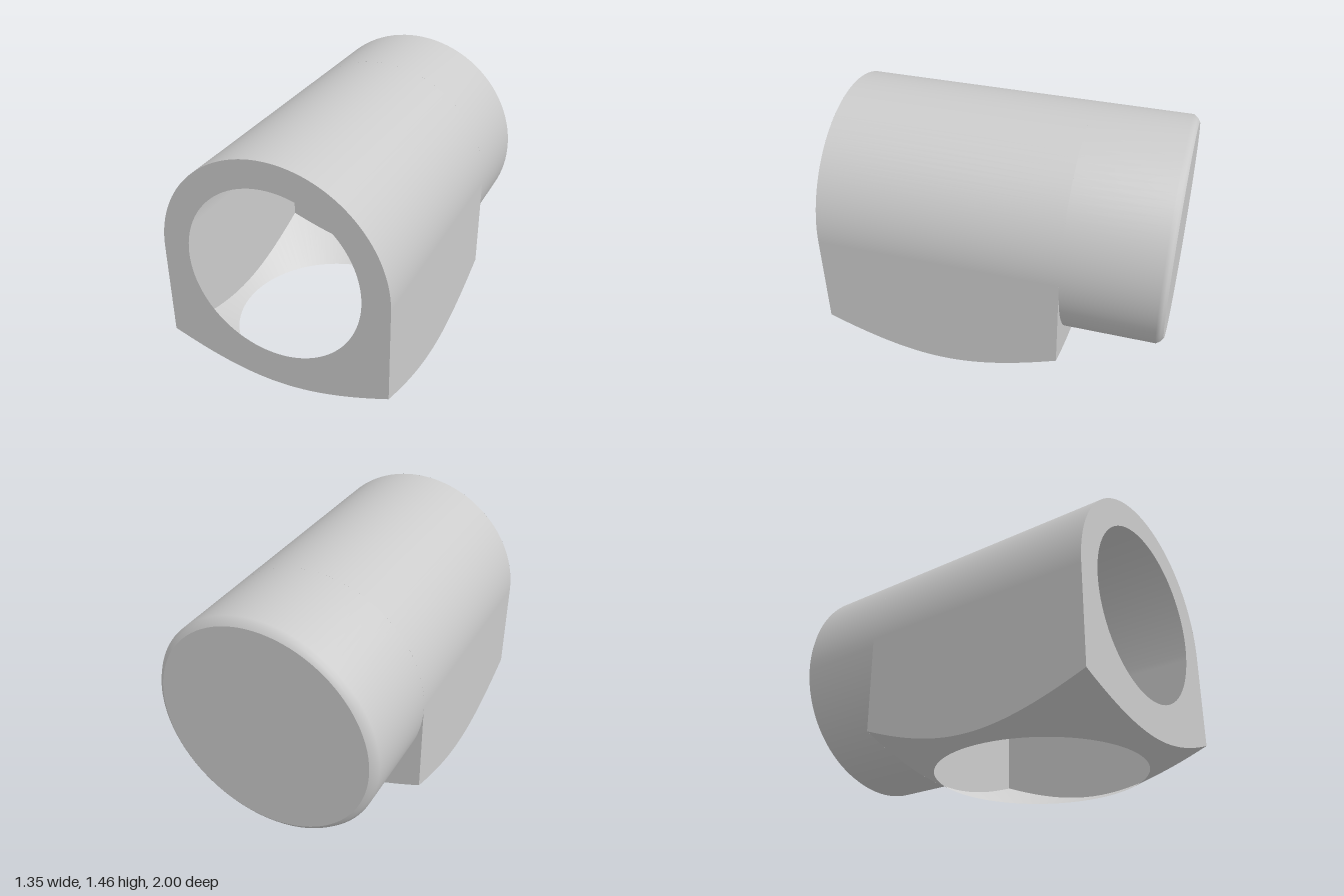
import * as THREE from 'three';

const R = 0.675;            // barrel radius and half width of the block
const AXIS = 0.785;         // height of the barrel axis
const FRONT = 1, STEP = -0.42, BACK = -1;
const MID = (FRONT + STEP) / 2, HALF = (FRONT - STEP) / 2;
const RING = 0.6;           // radius of the opening underneath
const coneY = (x, z) => (Math.hypot(x, z) - RING) * 0.555;

const material = new THREE.MeshStandardMaterial({ color: 0xcccccc, side: THREE.DoubleSide });

// Wall outline: lower edge follows the cone, top is straight or arched
function wallShape(half, dist, arched) {
  const shape = new THREE.Shape();
  const n = 32;
  for (let i = 0; i <= n; i++) {
    const u = -half + (2 * half * i) / n;
    if (i === 0) shape.moveTo(u, coneY(u, dist));
    else shape.lineTo(u, coneY(u, dist));
  }
  shape.lineTo(half, AXIS);
  if (arched) shape.absarc(0, AXIS, half, 0, Math.PI, false);
  else shape.lineTo(-half, AXIS);
  shape.closePath();
  return shape;
}

// Conical skirt from the round opening out to the rectangular block
function skirtGeometry() {
  const n = 24, pos = [], index = [];
  const corners = [[-R, HALF], [R, HALF], [R, -HALF], [-R, -HALF]];
  corners.forEach(([x0, z0], c) => {
    const [x1, z1] = corners[(c + 1) % 4];
    for (let i = 0; i < n; i++) {
      const x = x0 + ((x1 - x0) * i) / n, z = z0 + ((z1 - z0) * i) / n;
      const k = RING / Math.hypot(x, z);
      pos.push(x * k, 0, z * k, x, coneY(x, z), z);
    }
  });
  const total = 4 * n;
  for (let i = 0; i < total; i++) {
    const a = 2 * i, b = 2 * ((i + 1) % total);
    index.push(a, b, a + 1, b, b + 1, a + 1);
  }
  const g = new THREE.BufferGeometry();
  g.setAttribute('position', new THREE.Float32BufferAttribute(pos, 3));
  g.setIndex(index);
  g.computeVertexNormals();
  return g;
}

export function createModel() {
  const model = new THREE.Group();
  const add = (name, geometry, x = 0, y = 0, z = 0) => {
    const mesh = new THREE.Mesh(geometry, material);
    mesh.name = name;
    mesh.position.set(x, y, z);
    model.add(mesh);
  };

  // Front wall with the round port
  const front = wallShape(R, HALF, true);
  front.holes.push(new THREE.Path().absarc(0, AXIS, 0.515, 0, Math.PI * 2, true));
  add('frontWall', new THREE.ShapeGeometry(front, 48), 0, 0, FRONT);

  // Back wall of the block, behind which the barrel continues
  add('backWall', new THREE.ShapeGeometry(wallShape(R, HALF, true), 48).rotateY(Math.PI), 0, 0, STEP);

  // Side walls
  for (const s of [1, -1]) {
    const g = new THREE.ShapeGeometry(wallShape(HALF, R, false)).rotateY((s * Math.PI) / 2);
    add(s > 0 ? 'leftWall' : 'rightWall', g, s * R, 0, MID);
  }

  // Arched roof over the block
  const roof = new THREE.CylinderGeometry(R, R, FRONT - STEP, 64, 1, true, Math.PI / 2, Math.PI);
  add('archedRoof', roof.rotateX(Math.PI / 2), 0, AXIS, MID);

  // Barrel with softened rear edge and a flat end
  const profile = [[0.635, BACK], [0.658, -0.985], [R, -0.96], [R, STEP]]
    .map(([r, z]) => new THREE.Vector2(r, z));
  add('barrel', new THREE.LatheGeometry(profile, 96).rotateX(Math.PI / 2), 0, AXIS, 0);
  add('barrelEnd', new THREE.CircleGeometry(0.635, 96).rotateY(Math.PI), 0, AXIS, BACK);

  // Underside
  add('conicalSkirt', skirtGeometry(), 0, 0, MID);

  return model;
}
